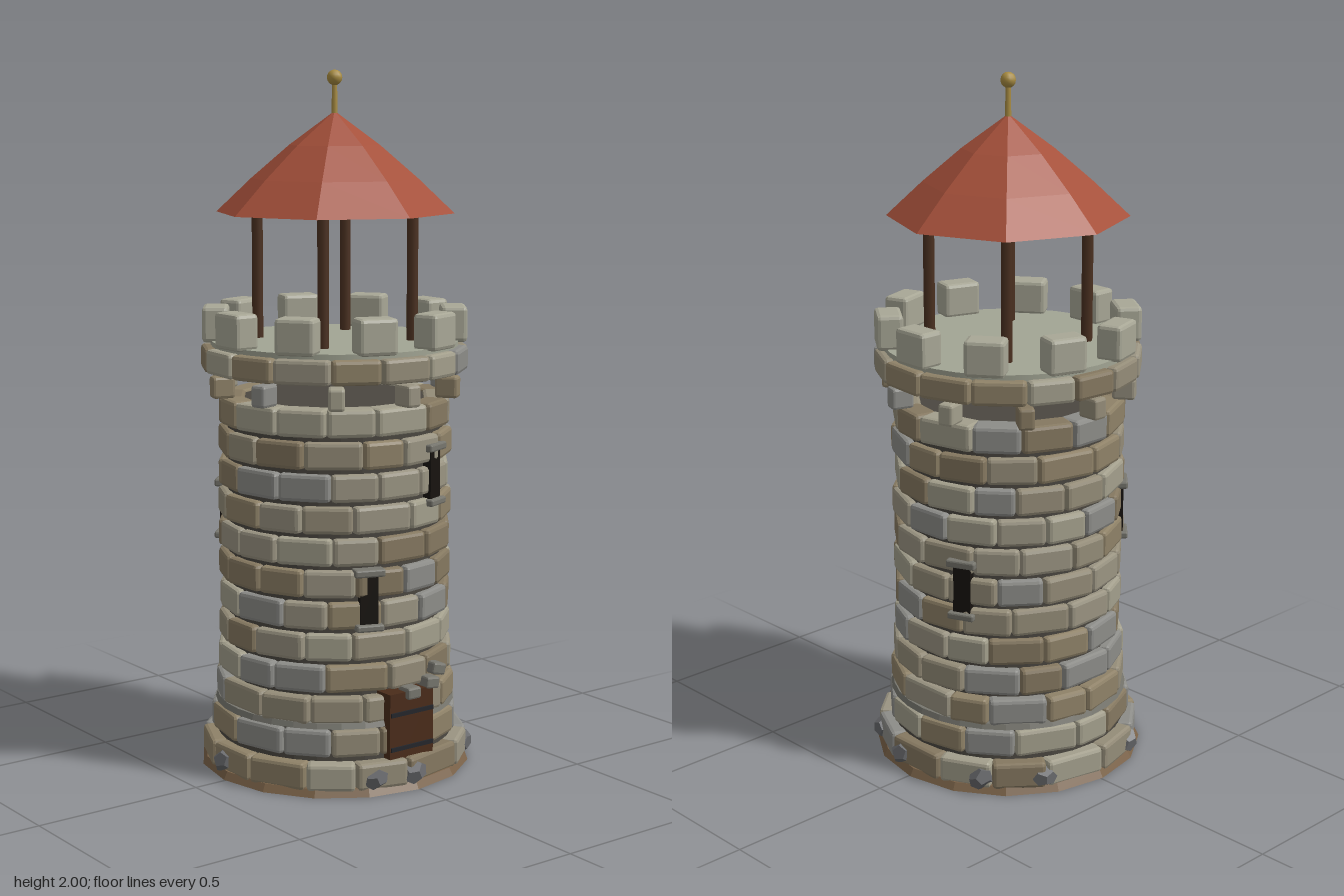
import * as THREE from 'three';
import { RoundedBoxGeometry } from 'three/addons/geometries/RoundedBoxGeometry.js';

const mat = (color, flat = true) => new THREE.MeshStandardMaterial({ color, flatShading: flat });
const M = {
  bricks: [0x9a9482, 0x8f8268, 0x8c8c88, 0xa39f8c, 0x857860, 0x948c78].map((c) => mat(c)),
  merlon: mat(0xa8a796), mortar: mat(0x4b4740, false), floor: mat(0xa2a594, false),
  rubble: mat(0x68696c), earth: mat(0x7a6248), wood: mat(0x4a2c1a), post: mat(0x4a3020, false),
  iron: mat(0x24262b), dark: mat(0x17130f), trim: mat(0x77766e), roof: mat(0xa5503a), gold: mat(0xa88c42, false),
};

// Seeded random numbers
let seed = 7;
const rnd = () => (seed = (seed * 16807) % 2147483647) / 2147483647;
const pick = (list) => list[Math.floor(rnd() * list.length)];

function add(parent, name, geometry, material, x = 0, y = 0, z = 0) {
  const mesh = new THREE.Mesh(geometry, material);
  mesh.name = name;
  mesh.position.set(x, y, z);
  parent.add(mesh);
  return mesh;
}

// Chamfered block
const block = (w, h, d, bevel = 0.01) => new RoundedBoxGeometry(w, h, d, 1, bevel);

// Mesh placed at an angle around the tower, measured from the front towards +x
function addAround(parent, name, geometry, material, angle, radius, y) {
  const mesh = add(parent, name, geometry, material, Math.sin(angle) * radius, y, Math.cos(angle) * radius);
  mesh.rotation.y = angle;
  return mesh;
}

// Ring of straight bricks with slightly uneven widths
function course(parent, name, y, radius, count, height, offset) {
  const ring = new THREE.Group();
  ring.name = name;
  parent.add(ring);
  const step = (Math.PI * 2) / count, depth = 0.075;
  const joints = Array.from({ length: count }, (_, i) => (i + offset + (rnd() - 0.5) * 0.28) * step);
  joints.push(joints[0] + Math.PI * 2);
  for (let i = 0; i < count; i++) {
    const span = joints[i + 1] - joints[i];
    const width = 2 * radius * Math.sin(span / 2) - 0.007;
    const out = radius * Math.cos(span / 2) + 0.003 + rnd() * 0.005;
    addAround(ring, 'brick', block(width, height, depth, 0.011), pick(M.bricks),
      joints[i] + span / 2, out - depth / 2, y);
  }
}

// Arrow slit with lintel and sill
function arrowSlit(parent, degrees, y) {
  const slit = new THREE.Group();
  slit.name = 'arrowSlit';
  const a = THREE.MathUtils.degToRad(degrees);
  slit.position.set(Math.sin(a) * 0.31, y, Math.cos(a) * 0.31);
  slit.rotation.y = a;
  parent.add(slit);
  add(slit, 'opening', new THREE.BoxGeometry(0.052, 0.15, 0.05), M.dark);
  add(slit, 'lintel', block(0.088, 0.022, 0.066, 0.005), M.trim, 0, 0.076, 0.004);
  add(slit, 'sill', block(0.08, 0.02, 0.07, 0.005), M.trim, 0, -0.08, 0.004);
}

function addWall(tower) {
  add(tower, 'groundDisc', new THREE.CylinderGeometry(0.383, 0.395, 0.022, 16), M.earth, 0, 0.011, 0);
  const profile = [[0, 0.02], [0.35, 0.02], [0.338, 0.195], [0.312, 0.2], [0.312, 1.075], [0, 1.075]];
  add(tower, 'mortarCore', new THREE.LatheGeometry(profile.map((p) => new THREE.Vector2(...p)), 32), mat(0x4b4740));
  add(tower, 'plinthLedge', new THREE.CylinderGeometry(0.344, 0.35, 0.016, 32), M.trim, 0, 0.193, 0);
  const flare = [0.383, 0.357, 0.345, 0.338];
  for (let k = 0; k < 12; k++) {
    course(tower, 'wallCourse', 0.053 + 0.09 * k, flare[k] ?? 0.333, 14, 0.078, (k % 2) * 0.5);
  }
}

function addBattlements(tower) {
  course(tower, 'crownCourse', 1.19, 0.38, 16, 0.07, 0.3);
  add(tower, 'crownCore', new THREE.CylinderGeometry(0.35, 0.35, 0.062, 32), M.mortar, 0, 1.19, 0);
  add(tower, 'platformFloor', new THREE.CylinderGeometry(0.355, 0.355, 0.02, 32), M.floor, 0, 1.229, 0);
  for (let i = 0; i < 10; i++) {
    const a = (i * Math.PI) / 5;
    addAround(tower, 'corbel', block(0.046, 0.062, 0.066, 0.008), M.bricks[i % 6], a, 0.335, 1.115);
    addAround(tower, 'merlon', block(0.113, 0.102, 0.075, 0.011), M.merlon, a + Math.PI / 10, 0.34, 1.285);
  }
}

function addRoof(tower) {
  for (const x of [-1, 1]) for (const z of [-1, 1]) {
    add(tower, 'roofPost', new THREE.CylinderGeometry(0.016, 0.016, 0.38, 8), M.post, x * 0.158, 1.42, z * 0.158);
  }
  const profile = [[0, 1.602], [0.342, 1.6], [0.24, 1.696], [0.13, 1.79], [0, 1.885]];
  add(tower, 'roof', new THREE.LatheGeometry(profile.map((p) => new THREE.Vector2(...p)), 8), M.roof);
  add(tower, 'finialRod', new THREE.CylinderGeometry(0.007, 0.009, 0.11, 8), M.gold, 0, 1.92, 0);
  add(tower, 'finialBall', new THREE.SphereGeometry(0.022, 12, 8), M.gold, 0, 1.978, 0);
}

function addDoor(tower) {
  const door = new THREE.Group();
  door.name = 'door';
  tower.add(door);
  add(door, 'doorPanel', new THREE.BoxGeometry(0.155, 0.26, 0.06), M.wood, 0, 0.15, 0.332);
  for (const y of [0.12, 0.22]) add(door, 'strap', new THREE.BoxGeometry(0.15, 0.012, 0.008), M.iron, 0, y, 0.363);
  // Loose stones over the door
  [[0, 0.275, 0.352], [0.075, 0.29, 0.342], [0.108, 0.322, 0.33]].forEach(([x, y, z], i) => {
    add(door, 'archStone', block(0.046, 0.034, 0.05, 0.006), M.trim, x, y, z).rotation.z = -0.12 * i;
  });
}

// Rubble scattered round the foot
function addRubble(tower) {
  for (const degrees of [0, -19, 52, 80, 124, 152, 206, 265]) {
    const a = THREE.MathUtils.degToRad(degrees);
    const stone = addAround(tower, 'rubbleStone', new THREE.DodecahedronGeometry(0.036 + rnd() * 0.006),
      M.rubble, a, 0.37, 0.045);
    stone.scale.set(1.05, 0.85, 0.9);
    stone.rotation.z = rnd() * 0.8;
  }
}

export function createModel() {
  const model = new THREE.Group();
  model.name = 'watchtower';
  const tower = new THREE.Group();
  tower.name = 'tower';
  tower.position.set(-0.006, 0, -0.006);
  model.add(tower);
  addWall(tower);
  addBattlements(tower);
  addRoof(tower);
  addDoor(tower);
  addRubble(tower);
  [[21, 0.88], [-20, 0.55], [113, 0.6], [225, 0.74]].forEach(([deg, y]) => arrowSlit(tower, deg, y));
  return model;
}
